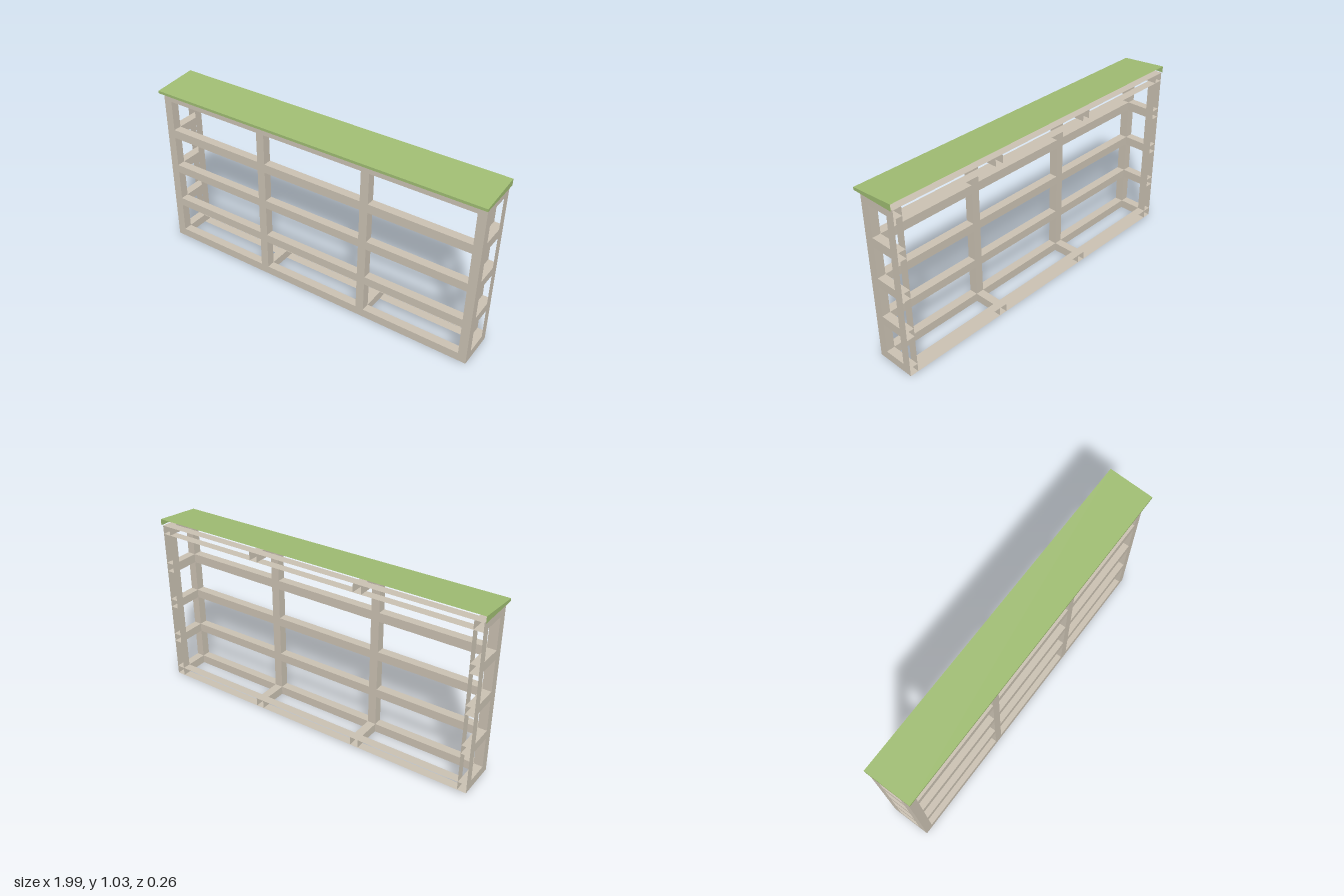
import * as THREE from 'three';

export function createModel() {
  const timber = new THREE.MeshStandardMaterial({ color: 0xcbc2b3, side: THREE.DoubleSide });
  timber.name = 'pale timber';
  const green = new THREE.MeshStandardMaterial({ color: 0xa0bd73, side: THREE.DoubleSide });
  green.name = 'roof green';

  const model = new THREE.Group();
  model.name = 'shelfFrame';
  const posts = [[-0.989, -0.939], [-0.339, -0.291], [0.312, 0.36], [0.938, 0.986]];
  const rails = [[0, 0.05], [0.23, 0.28], [0.465, 0.515], [0.698, 0.75], [0.93, 0.98]];
  const L = posts[0][0], R = posts[3][1], H = 0.98;
  const FRONT = 0.1, INNER = 0.05, REAR = -0.08, BACK = -0.13;

  function add(name, geometry, material, parent = model) {
    const mesh = new THREE.Mesh(geometry, material);
    mesh.name = name;
    parent.add(mesh);
    return mesh;
  }
  function rect(Type, x0, x1, y0, y1) {
    return new Type([[x0, y0], [x1, y0], [x1, y1], [x0, y1]].map(p => new THREE.Vector2(...p)));
  }
  // Upright sheet at one x
  function sideSheet(name, x, y0, y1, z0, z1) {
    const g = new THREE.PlaneGeometry(Math.abs(z1 - z0), y1 - y0).rotateY(Math.PI / 2);
    add(name, g.translate(x, (y0 + y1) / 2, (z0 + z1) / 2), timber);
  }
  // Level sheet at one y
  function levelSheet(name, y, x0, x1, z0, z1) {
    const g = new THREE.PlaneGeometry(x1 - x0, Math.abs(z1 - z0)).rotateX(-Math.PI / 2);
    add(name, g.translate((x0 + x1) / 2, y, (z0 + z1) / 2), timber);
  }

  // Solid front lattice: three bays by four tiers
  const lattice = rect(THREE.Shape, L, R, 0, H);
  for (let i = 0; i < 3; i++) {
    for (let j = 0; j < 4; j++) {
      lattice.holes.push(rect(THREE.Path, posts[i][1], posts[i + 1][0], rails[j][1], rails[j + 1][0]));
    }
  }
  const front = new THREE.ExtrudeGeometry(lattice, { depth: FRONT - INNER, bevelEnabled: false });
  add('frontFrame', front.translate(0, 0, INNER), timber);

  // Cross members run to the back: every tier at the ends, top and bottom in the middle
  posts.forEach(([x0, x1], i) => {
    const end = i === 0 || i === 3;
    rails.forEach(([y0, y1], j) => {
      if (!end && j > 0 && j < 4) return;
      for (const x of [x0, x1]) sideSheet('crossRailSide', x, y0, y1, INNER, end ? REAR : BACK);
      for (const y of [y0, y1]) levelSheet('crossRailFace', y, x0, x1, INNER, end ? BACK : REAR);
    });
    // Open back corner posts
    if (end) for (const x of [x0, x1]) sideSheet('backPostSide', x, 0, H, REAR, BACK);
  });

  // Open back rails
  for (const j of [0, 4]) {
    for (const y of rails[j]) levelSheet('backRailFace', y, posts[0][1], posts[3][0], REAR, BACK);
  }

  // Sloping roof with a front fascia and wedge ends, open behind
  const roof = new THREE.Group();
  roof.name = 'roof';
  model.add(roof);
  const W = 0.997, D = 0.132, low = 0.995, high = 1.017;
  const slope = new THREE.PlaneGeometry(2 * W, 2 * D).rotateX(-Math.PI / 2);
  const p = slope.attributes.position;
  for (let i = 0; i < p.count; i++) p.setY(i, p.getZ(i) > 0 ? low : high);
  slope.computeVertexNormals();
  add('roofTop', slope, green, roof);
  add('roofFascia', new THREE.PlaneGeometry(2 * W, low - H).translate(0, (low + H) / 2, D), green, roof);
  const wedge = new THREE.Shape([[-D, H], [D, H], [D, high], [-D, low]].map(q => new THREE.Vector2(...q)));
  for (const s of [-1, 1]) {
    const g = new THREE.ShapeGeometry(wedge).rotateY(Math.PI / 2);
    if (s < 0) { // face the other way
      g.setIndex(Array.from(g.index.array).reverse());
      g.computeVertexNormals();
    }
    add('roofEnd', g.translate(s * W, 0, 0), green, roof);
  }

  // The whole frame leans very slightly
  model.rotation.z = -0.006;
  model.position.set(-0.003, 0.006, 0);
  const group = new THREE.Group();
  group.name = 'model';
  group.add(model);
  return group;
}
